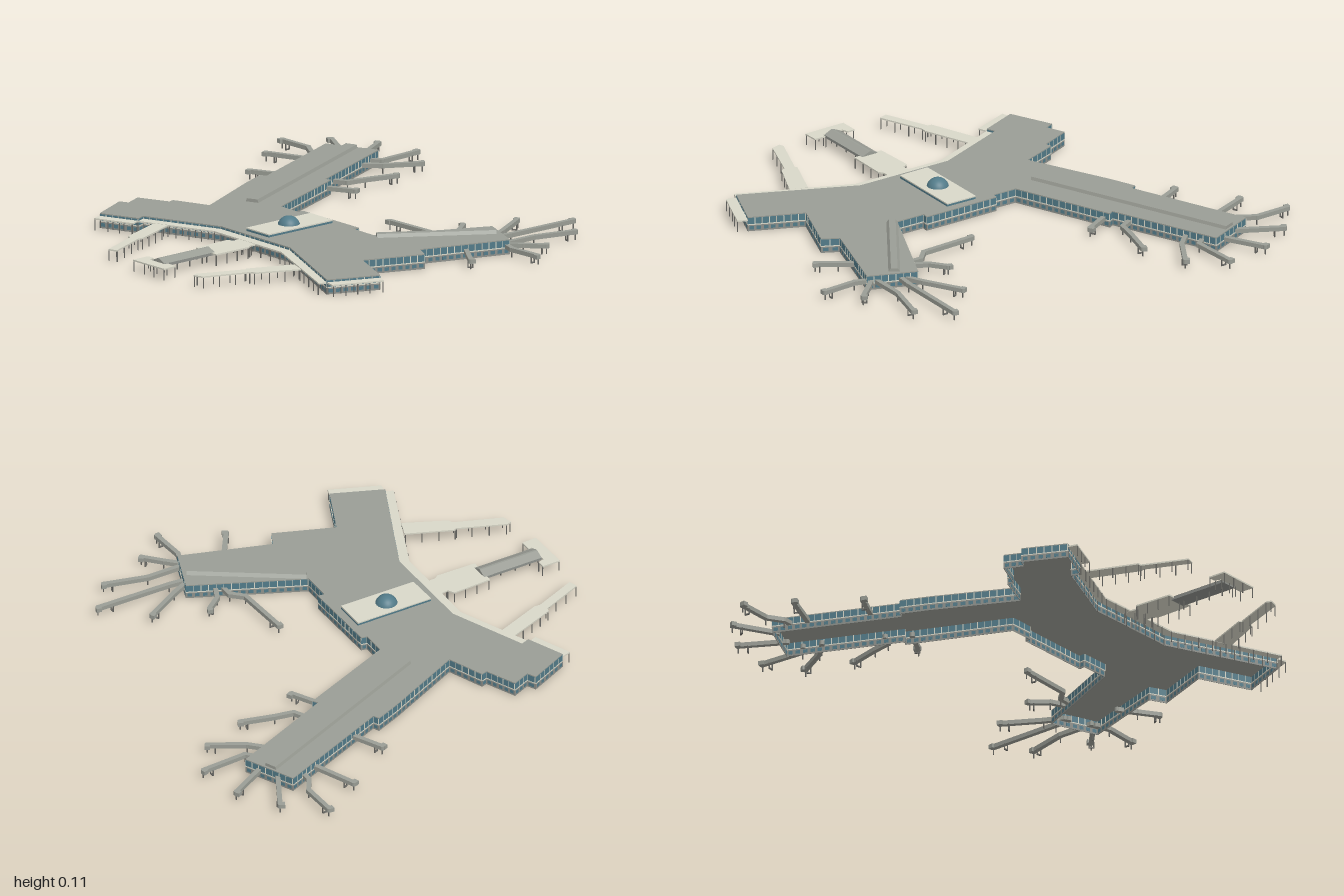
import * as THREE from 'three';

const mat = (name, color) => {
  const m = new THREE.MeshStandardMaterial({ color });
  m.name = name;
  return m;
};

// Flat lists of plan coordinates (x, z) in hundredths, measured from a datum
// slightly off centre, become Vector2 points
const DATUM = 0.4;
const plan = (list) => {
  const out = [];
  for (let i = 0; i < list.length; i += 2) {
    out.push(new THREE.Vector2((list[i] + DATUM) / 100, (list[i + 1] + DATUM) / 100));
  }
  return out;
};

const OUTLINE = [
  -71, -77, -49.5, -83.5, -36.8, -37.5, -34.6, -38.5, -23.5, 3.8, -13.5, 5.3, -12.7, 3, 20, 7.4,
  19.3, 10, 31.5, 11.8, 57.4, -28.5, 75.3, -18.5, 58.5, 15.4, 64.5, 19.6, 52, 42, 71.6, 54,
  60.5, 72.8, 18.8, 46.8, -22, 41, -54.7, 49.5, -53.8, 53.2, -70, 57.5, -75.6, 39.7, -71.8, 38.5,
  -74, 30.7, -60.8, 27, -61.2, 24.5, -45.5, 20.7, -56.8, -14.2, -59.8, -25.5, -57.2, -26.3];

const CANOPIES = [
  [-70, 57.5, -69.5, 61.5, -53.1, 57.3, -54.2, 53.2],
  [-54.7, 49.5, -54.2, 53.6, -22, 45.1, 17.7, 50.9, 59, 75.8, 60.5, 72.8, 18.8, 46.8, -22, 41],
  [60.5, 72.8, 64.7, 74.2, 75.3, 56, 71.6, 54]];

const WALKWAYS = [
  [-47.3, 51.4, -41.5, 49.5, -36.5, 70, -37, 72.5, -32, 91, -35.7, 91.6, -40.7, 73, -42.3, 72.6],
  [-7, 44, 3, 45, 2.4, 51.5, -7.1, 50.3],
  [-9.8, 51.4, -7.1, 50.3, 2.4, 51.5, 3.4, 53.5, 0.8, 70, -11.4, 67.8],
  [-17.2, 89.5, -14, 90, -13.6, 92.6, -4.6, 94, -4.4, 92.4, 0.3, 93.2, -0.3, 99.3, -18.2, 97.1],
  [33.5, 61, 40, 64.5, 30, 80, 28, 80.5, 18.3, 98, 14.2, 98.6, 13.8, 96.5, 24, 79, 23.5, 78]];

// Centre lines of the boarding bridges; the last point is the turned head
const BRIDGES = [
  [-69, -70, -72.7, -70.5, -78.5, -75.2, -93.2, -76.8, -93.6, -75],
  [-64, -79, -79.3, -90, -80.3, -88.4],
  [-55, -80, -62, -98, -63.7, -97.4],
  [-48, -77, -44.1, -79.5, -42.5, -98.9, -44.2, -98.7],
  [-47, -69, -39.4, -74.7, -29.9, -87, -31.3, -88.1],
  [-39, -45, -33.5, -47, -31, -54.5, -25.6, -67.3, -27, -68],
  [-35, -35.2, -23, -39.7, -23.7, -41.5],
  [-59, -39, -73, -34.4, -72.6, -32.6],
  [-66, -63.3, -85.4, -58.3, -85, -56.6],
  [50, -16, 45, -16.6, 40, -12.7, 16.6, -14.8, 16.4, -13.3],
  [51.5, -18.5, 46, -22, 42, -29, 40.4, -29.6],
  [61.5, -25, 59, -33, 52.6, -49, 51.2, -48.5],
  [63, -24, 64.7, -31, 69.5, -62.5, 68, -63],
  [71.5, -19, 73.7, -34.5, 80.6, -51, 79.2, -51.6],
  [73.5, -19, 78.5, -22.8, 85.9, -28, 84.8, -29.3],
  [73.5, -18, 79, -15.4, 93.5, -14.3, 93.3, -12.7],
  [65.5, -3.5, 71.6, 2, 78.3, 8, 79.2, 6.6]];

export function createModel() {
  const roofGrey = mat('roof grey', 0x9a9d95);
  const cream = mat('pale concrete', 0xd8d7c8);
  const wallGrey = mat('wall grey', 0x8d908b);
  const glass = mat('blue glass', 0x527b89);
  const steel = mat('dark steel', 0x6a6a66);

  const model = new THREE.Group();
  model.name = 'airportTerminal';
  const group = (name) => {
    const g = new THREE.Group();
    g.name = name;
    model.add(g);
    return g;
  };
  const add = (parent, name, geo, material) => {
    const m = new THREE.Mesh(geo, material);
    m.name = name;
    parent.add(m);
    return m;
  };
  // Vertical slab over a plan outline
  const slab = (parent, name, pts, y0, y1, material) => {
    const shape = new THREE.Shape(pts.map((p) => new THREE.Vector2(p.x, -p.y)));
    const geo = new THREE.ExtrudeGeometry(shape, { depth: y1 - y0, bevelEnabled: false });
    geo.rotateX(-Math.PI / 2).translate(0, y0, 0);
    return add(parent, name, geo, material);
  };
  // Box laid along the line a-b in plan
  const beam = (parent, name, a, b, y0, y1, width, material) => {
    const m = add(parent, name, new THREE.BoxGeometry(a.distanceTo(b), y1 - y0, width), material);
    m.position.set((a.x + b.x) / 2, (y0 + y1) / 2, (a.y + b.y) / 2);
    m.rotation.y = -Math.atan2(b.y - a.y, b.x - a.x);
    return m;
  };
  const post = (parent, p, top, w = 0.004) => {
    const m = add(parent, 'post', new THREE.BoxGeometry(w, top, w), steel);
    m.position.set(p.x, top / 2, p.y);
  };

  // Terminal: a roof on thin outer walls, open underneath
  const outline = plan(OUTLINE);
  slab(model, 'roof', outline, 0.056, 0.06, roofGrey);
  const facade = group('facade');
  outline.forEach((a, i) => {
    const b = outline[(i + 1) % outline.length];
    beam(facade, 'lowerWall', a, b, 0, 0.026, 0.002, wallGrey);
    beam(facade, 'upperGlazing', a, b, 0.03, 0.056, 0.002, glass);
    beam(facade, 'floorBand', a, b, 0.026, 0.03, 0.004, cream);
    const n = Math.max(1, Math.round(a.distanceTo(b) / 0.03));
    for (let k = 0; k < n; k++) {
      const at = (t) => a.clone().lerp(b, (k + t) / n);
      beam(facade, 'lowerWindow', at(0.2), at(0.8), 0.007, 0.021, 0.003, glass);
      beam(facade, 'mullion', at(0), at(0.1), 0.03, 0.056, 0.004, cream);
    }
  });

  // Kerbside canopies and covered walkways on posts
  const covers = group('canopies');
  const cover = (name, list, y0, y1) => {
    const pts = plan(list);
    slab(covers, name, pts, y0, y1, cream);
    const centre = pts.reduce((s, p) => s.add(p), new THREE.Vector2()).divideScalar(pts.length);
    pts.forEach((a, i) => {
      const b = pts[(i + 1) % pts.length];
      const n = Math.max(1, Math.round(a.distanceTo(b) / 0.06));
      for (let k = 0; k < n; k++) {
        const p = a.clone().lerp(b, k / n);
        const inward = centre.clone().sub(p).setLength(0.004);
        post(covers, p.add(inward), y0, 0.003);
      }
    });
  };
  CANOPIES.forEach((c) => cover('kerbCanopy', c, 0.043, 0.049));
  WALKWAYS.forEach((c) => cover('walkway', c, 0.042, 0.048));

  // Raised prism with sloping sides, running from a to b
  const ridge = (name, a, b, width, topWidth, y0, y1) => {
    const shape = new THREE.Shape([
      new THREE.Vector2(-width / 2, 0), new THREE.Vector2(width / 2, 0),
      new THREE.Vector2(topWidth / 2, y1 - y0), new THREE.Vector2(-topWidth / 2, y1 - y0)]);
    const geo = new THREE.ExtrudeGeometry(shape, { depth: a.distanceTo(b), bevelEnabled: false });
    const m = add(model, name, geo, roofGrey);
    m.position.set(a.x, y0, a.y);
    m.rotation.y = Math.atan2(b.x - a.x, b.y - a.y);
  };
  const [l0, l1, r0, r1, c0, c1] = plan([-60, -79.5, -36, 6.5, 64.5, -22.5, 33.5, 12.5, -5.2, 67.5, -8.7, 93.2]);
  ridge('leftPierSkylight', l0, l1, 0.054, 0.046, 0.06, 0.073);
  ridge('rightPierSkylight', r0, r1, 0.046, 0.026, 0.06, 0.073);
  ridge('linkBridgeRoof', c0, c1, 0.074, 0.008, 0.048, 0.063);
  const link = group('linkBridge');
  beam(link, 'linkDeck', c0, c1, 0.036, 0.048, 0.07, wallGrey);
  for (let k = 0; k < 4; k++) post(link, c0.clone().lerp(c1, (k + 0.5) / 4), 0.036);

  // Central hall: glazed plinth, pale roof, dome
  const hall = group('centralHall');
  const hallPlan = plan([-5.5, 7, 7.7, 9, 3, 41.3, -10, 39.7]);
  slab(hall, 'hallGlazing', hallPlan, 0.06, 0.068, glass);
  slab(hall, 'hallRoof', hallPlan, 0.068, 0.073, cream);
  const dome = add(hall, 'dome', new THREE.SphereGeometry(0.045, 32, 12, 0, Math.PI * 2, 0, Math.PI / 2), glass);
  dome.position.set(-0.01, 0.06, 0.248);

  // Boarding bridges with elbows, turned heads and legs
  const bridges = group('boardingBridges');
  BRIDGES.forEach((list) => {
    const pts = plan(list);
    const last = pts.length - 1;
    for (let i = 0; i < last; i++) {
      const head = i === last - 1;
      beam(bridges, head ? 'bridgeHead' : 'bridgeTunnel', pts[i], pts[i + 1], 0.024, 0.041, head ? 0.022 : 0.019, roofGrey);
      const elbow = add(bridges, 'elbow', new THREE.CylinderGeometry(0.0105, 0.0105, 0.017, 12), roofGrey);
      elbow.position.set(pts[i].x, 0.0325, pts[i].y);
      if (i > 0) post(bridges, pts[i], 0.026);
    }
    const a = pts[last - 2], b = pts[last - 1];
    const foot = a.clone().lerp(b, 0.8);
    const side = b.clone().sub(a).setLength(0.009).rotateAround(new THREE.Vector2(), Math.PI / 2);
    post(bridges, foot.clone().add(side), 0.026);
    post(bridges, foot.clone().sub(side), 0.026);
    beam(bridges, 'axle', foot.clone().add(side), foot.clone().sub(side), 0, 0.005, 0.006, steel);
  });

  return model;
}
